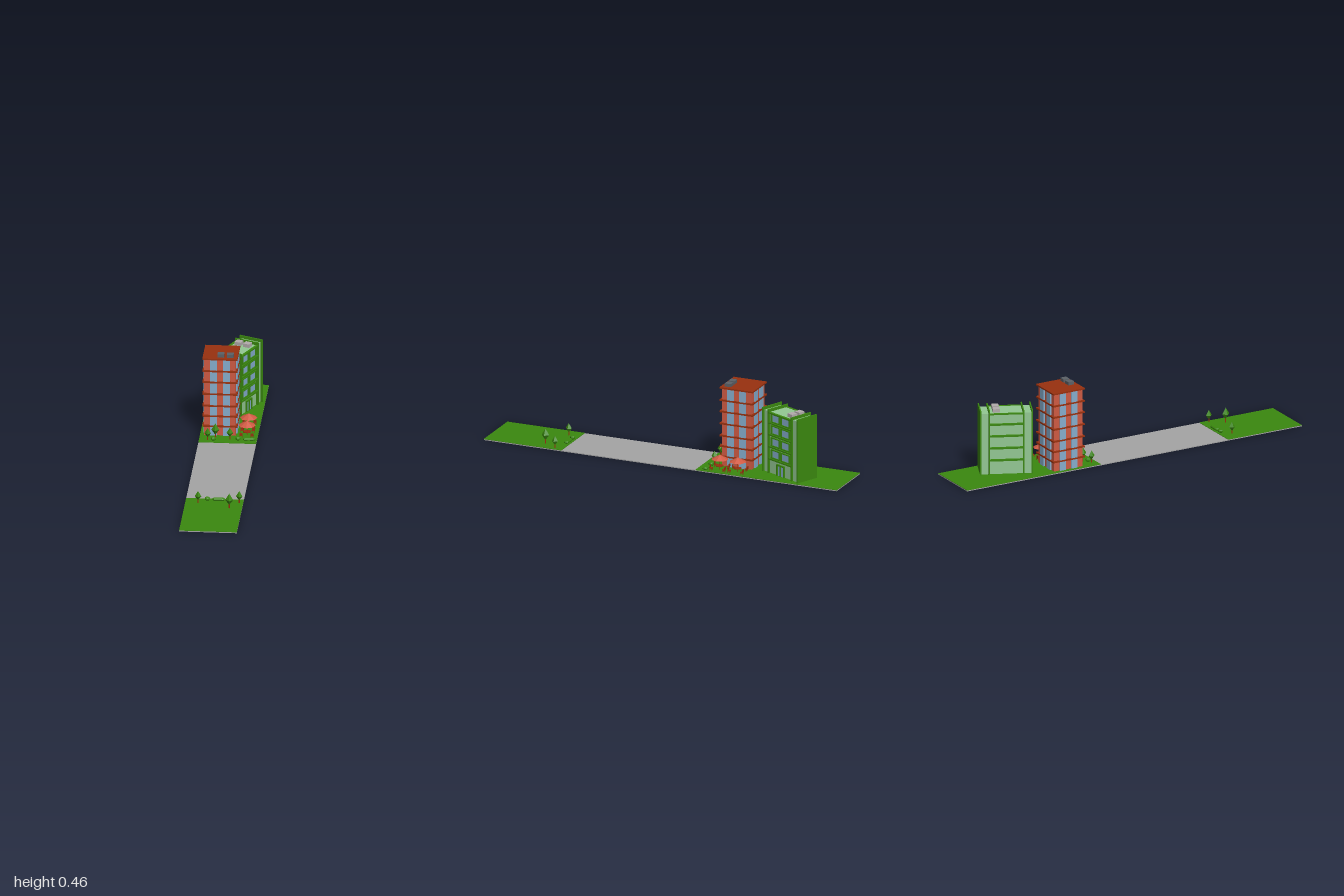
import * as THREE from 'three';

const mat = (name, color) => Object.assign(new THREE.MeshStandardMaterial({ color, flatShading: true }), { name });

export function createModel() {
  const M = {
    green: mat('leaf green', 0x3a880f),
    grey: mat('paving grey', 0xa5a5a5),
    darkRed: mat('brick red', 0x99310f),
    red: mat('salmon red', 0xcf5a43),
    blue: mat('glass blue', 0x86aecd),
    pale: mat('pale green', 0x93c893),
    darkGrey: mat('dark grey', 0x5c6167),
    lightGrey: mat('light grey', 0xb3acac),
  };
  const root = new THREE.Group();
  root.name = 'streetBlock';
  const G = 0.007; // ground level

  const group = (name, x = 0, y = 0, z = 0, parent = root) => {
    const g = new THREE.Group();
    g.name = name;
    g.position.set(x, y, z);
    parent.add(g);
    return g;
  };
  const add = (parent, name, geo, m, x = 0, y = 0, z = 0) => {
    const mesh = new THREE.Mesh(geo, m);
    mesh.name = name;
    mesh.position.set(x, y, z);
    parent.add(mesh);
    return mesh;
  };
  // box standing on y
  const box = (parent, name, m, w, h, d, x, y, z) =>
    add(parent, name, new THREE.BoxGeometry(w, h, d), m, x, y + h / 2, z);

  // ground: paved strip between two lawns
  box(root, 'pavement', M.grey, 0.3, 0.005, 2, 0, 0, 0);
  box(root, 'backLawn', M.green, 0.3, 0.003, 0.8, 0, 0.004, -0.6);
  box(root, 'frontLawn', M.green, 0.3, 0.003, 0.44, 0, 0.004, 0.78);

  // red tower
  const tower = group('tower', -0.046, 0, -0.383);
  box(tower, 'towerWalls', M.red, 0.164, 0.425, 0.168, 0, G, 0);
  for (const s of [-1, 1]) {
    for (const o of [-0.034, 0.034]) {
      box(tower, 'windowStrip', M.blue, 0.036, 0.424, 0.008, o, G, s * 0.087);
      box(tower, 'windowStrip', M.blue, 0.008, 0.424, 0.036, s * 0.085, G, o);
    }
  }
  for (const y of [0.06, 0.116, 0.173, 0.239, 0.305, 0.367, 0.434])
    box(tower, y > 0.4 ? 'towerRoof' : 'floorBand', M.darkRed, 0.182, 0.008, 0.188, 0, y - 0.004, 0);
  for (const x of [0.003, 0.052])
    box(tower, 'roofUnit', M.darkGrey, 0.035, 0.018, 0.034, x, 0.437, 0.057);

  // green block, turned on its lawn
  const block = group('greenBlock', 0.02, 0, -0.674);
  block.rotation.y = -0.42;
  box(block, 'blockBody', M.pale, 0.112, 0.333, 0.264, 0, G, 0);
  for (const s of [-1, 1]) {
    for (const z of [0.134, 0.089])
      box(block, 'endFin', M.green, 0.136, 0.348, 0.007, 0, G, s * z);
  }
  // window bays: green frames with glass between ledges
  for (const y of [0.092, 0.158, 0.224, 0.288]) {
    for (const z of [-0.038, 0.038]) {
      for (const e of [-1, 1]) {
        box(block, 'windowJamb', M.green, 0.01, 0.048, 0.007, 0.06, y, z + e * 0.031);
        box(block, 'windowRail', M.green, 0.01, 0.005, 0.069, 0.06, y + (e > 0 ? 0.043 : 0), z);
      }
      box(block, 'windowGlass', M.blue, 0.004, 0.038, 0.055, 0.057, y + 0.005, z);
    }
    box(block, 'frontLedge', M.green, 0.014, 0.008, 0.172, 0.062, y - 0.01, 0);
    box(block, 'backLedge', M.green, 0.014, 0.009, 0.172, -0.061, y - 0.012, 0);
  }
  for (const s of [-1, 1])
    box(block, 'topLedge', M.green, 0.014, 0.006, 0.172, s * 0.061, 0.335, 0);
  // entrance
  for (const z of [-0.026, 0, 0.026])
    box(block, 'doorPost', M.green, 0.012, 0.06, 0.006, 0.06, G, z);
  box(block, 'doorLintel', M.green, 0.012, 0.007, 0.058, 0.06, G + 0.055, 0);
  box(block, 'doorGlass', M.blue, 0.005, 0.055, 0.05, 0.057, G, 0);
  for (const x of [-0.026, 0.024])
    box(block, 'roofUnit', M.lightGrey, 0.036, 0.02, 0.036, x, 0.339, -0.051);

  // cafe sets: parasol, table and four chairs
  const chair = (parent, x, z, s) => {
    const c = group('chair', x, 0, z, parent);
    box(c, 'chairSeat', M.darkRed, 0.016, 0.003, 0.014, 0, 0.011, 0);
    box(c, 'chairBack', M.darkRed, 0.016, 0.014, 0.003, 0, 0.013, s * 0.006);
    for (const a of [-1, 1])
      for (const b of [-1, 1])
        box(c, 'chairLeg', M.darkRed, 0.002, 0.011, 0.002, a * 0.006, 0, b * 0.005);
  };
  for (const z of [-0.415, -0.313]) {
    const set = group('cafeSet', 0.094, G, z);
    const canopy = new THREE.ConeGeometry(0.045, 0.024, 8);
    add(set, 'parasolCanopy', canopy, M.red, 0, 0.068, 0);
    add(set, 'parasolPole', new THREE.CylinderGeometry(0.002, 0.002, 0.06, 6), M.darkRed, 0, 0.03, 0);
    add(set, 'tableTop', new THREE.CylinderGeometry(0.02, 0.02, 0.003, 8), M.darkRed, 0, 0.02, 0);
    for (const x of [-0.029, 0.029])
      for (const s of [-1, 1]) chair(set, x, s * 0.036, s);
  }

  // trees: four-sided double cone on a trunk
  const leaf = new THREE.LatheGeometry(
    [[0, 0], [1, 0.45], [0, 1]].map(([x, y]) => new THREE.Vector2(x, y)), 4);
  const trees = [
    [-0.104, -0.23, 0.067], [-0.067, -0.262, 0.081], [0.01, -0.246, 0.066],
    [-0.083, 0.622, 0.066], [0.084, 0.68, 0.081], [0.13, 0.606, 0.066],
  ];
  for (const [x, z, h] of trees) {
    const t = group('tree', x, G, z);
    add(t, 'treeTrunk', new THREE.CylinderGeometry(0.003, 0.003, h * 0.4, 6), M.darkRed, 0, h * 0.2, 0);
    add(t, 'treeCrown', leaf, M.green, 0, h * 0.22, 0).scale.set(h * 0.26, h * 0.78, h * 0.26);
  }

  // bushes and hedges: plan with cut corners and a bevelled top
  const hedge = (name, x, z, w, d, h) => {
    const a = w / 2 - 0.004, b = d / 2 - 0.004, c = 0.005;
    const s = new THREE.Shape([
      [-a + c, -b], [a - c, -b], [a, -b + c], [a, b - c],
      [a - c, b], [-a + c, b], [-a, b - c], [-a, -b + c],
    ].map(([u, v]) => new THREE.Vector2(u, v)));
    const g = new THREE.ExtrudeGeometry(s, {
      depth: h - 0.008, bevelSize: 0.004, bevelThickness: 0.004, bevelSegments: 1,
    });
    g.rotateX(-Math.PI / 2);
    add(root, name, g, M.green, x, G + 0.004, z);
  };
  hedge('bush', -0.075, -0.235, 0.026, 0.024, 0.016);
  hedge('bush', 0.053, -0.246, 0.026, 0.024, 0.016);
  hedge('hedge', 0.11, -0.246, 0.064, 0.024, 0.013);
  hedge('bush', -0.038, 0.58, 0.026, 0.024, 0.016);
  hedge('hedge', 0.021, 0.58, 0.064, 0.024, 0.013);

  return root;
}
